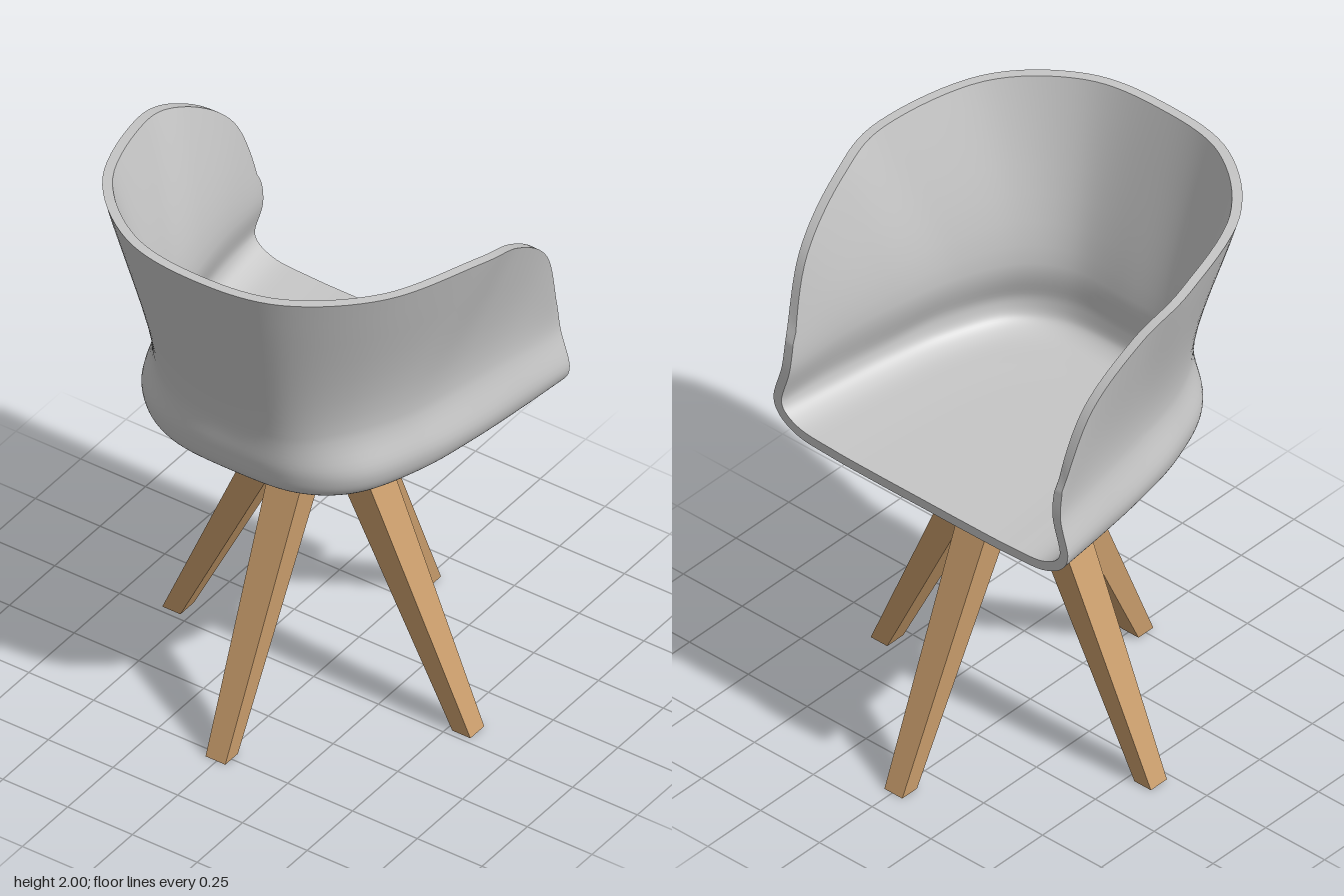
import * as THREE from 'three';

const shellGrey = new THREE.MeshStandardMaterial({ color: 0xc6c6c6 });
shellGrey.name = 'shellGrey';
const wood = new THREE.MeshStandardMaterial({ color: 0xc89c6b });
wood.name = 'wood';

const V = (x, y, z) => new THREE.Vector3(x, y, z);

// Guide points from the middle of the backrest (first) to the open edge (last)
const centre = [0, -0.05, -0.12, -0.2, -0.3, -0.41, -0.52].map((z) => V(0, 1.065, z));
const bulge = [
  [0, 1.2, 0.485], [0.25, 1.2, 0.465], [0.42, 1.2, 0.35], [0.52, 1.2, 0.13],
  [0.57, 1.19, -0.1], [0.602, 1.19, -0.32], [0.625, 1.18, -0.52],
].map((p) => V(...p));
const waist = [
  [0, 1.34, 0.49], [0.22, 1.35, 0.473], [0.37, 1.37, 0.36], [0.475, 1.37, 0.16],
  [0.53, 1.37, -0.08], [0.567, 1.36, -0.3], [0.592, 1.32, -0.518],
].map((p) => V(...p));
const rim = [
  [0, 1.995, 0.657], [0.3, 1.997, 0.605], [0.55, 1.99, 0.38], [0.663, 1.955, 0.02],
  [0.653, 1.875, -0.2], [0.622, 1.7, -0.4], [0.588, 1.42, -0.505],
].map((p) => V(...p));

// Point between the seat centre and the bulge, at a given height
const under = (k, y) => centre.map((c, i) => c.clone().lerp(bulge[i], k).setY(y));
const rows = [centre, under(0.3, 1.065), under(0.6, 1.068), under(0.84, 1.082),
  under(0.96, 1.125), bulge, waist, rim];

// Mirror a guide to make a smooth curve from the right edge round to the left
const guides = rows.map((row) => {
  const right = row.slice(1).reverse().map((p) => V(-p.x, p.y, p.z));
  return new THREE.CatmullRomCurve3([...right, ...row], false, 'catmullrom', 0.5);
});

const COLS = 96, ROWS = 48;
// Both halves share the vertices along the seat centre
const id = (i, j) => (j === 0 ? Math.max(i, COLS - i) : i) + j * (COLS + 1);

function makeGeometry(points, index) {
  const g = new THREE.BufferGeometry().setFromPoints(points);
  g.setIndex(index);
  g.computeVertexNormals();
  return g;
}

function buildShell() {
  const group = new THREE.Group();
  group.name = 'seatShell';

  // Outer skin
  const outer = [];
  const profiles = [];
  for (let i = 0; i <= COLS; i++) {
    profiles.push(new THREE.CatmullRomCurve3(guides.map((g) => g.getPoint(i / COLS)), false, 'centripetal'));
  }
  for (let j = 0; j <= ROWS; j++) {
    for (let i = 0; i <= COLS; i++) outer.push(profiles[i].getPoint(j / ROWS));
  }
  const faces = [], reversed = [];
  for (let j = 0; j < ROWS; j++) {
    for (let i = 0; i < COLS; i++) {
      const a = id(i, j), b = id(i + 1, j), c = id(i + 1, j + 1), d = id(i, j + 1);
      faces.push(a, b, c, a, c, d);
      reversed.push(a, c, b, a, d, c);
    }
  }
  const outerGeo = makeGeometry(outer, faces);

  // Inner skin, offset by the thickness; open edges stay level with the outer skin
  const n = outerGeo.attributes.normal;
  const inner = outer.map((p, k) => {
    const q = p.clone().addScaledVector(V(n.getX(k), n.getY(k), n.getZ(k)), -0.034);
    const i = k % (COLS + 1);
    if (i === 0 || i === COLS) q.z = p.z;
    if (k >= ROWS * (COLS + 1)) q.y = p.y;
    return q;
  });

  // Edge band: up one open side, over the rim, down the other
  const loop = [];
  for (let j = 0; j < ROWS; j++) loop.push(id(0, j));
  for (let i = 0; i <= COLS; i++) loop.push(id(i, ROWS));
  for (let j = ROWS - 1; j >= 0; j--) loop.push(id(COLS, j));
  const band = [], bandFaces = [];
  loop.forEach((k, s) => {
    band.push(outer[k], inner[k]);
    if (s) bandFaces.push(2 * s - 2, 2 * s, 2 * s + 1, 2 * s - 2, 2 * s + 1, 2 * s - 1);
  });

  const parts = {
    outerShell: outerGeo,
    innerShell: makeGeometry(inner, reversed),
    shellEdge: makeGeometry(band, bandFaces),
  };
  for (const [name, geo] of Object.entries(parts)) {
    const mesh = new THREE.Mesh(geo, shellGrey);
    mesh.name = name;
    group.add(mesh);
  }
  return group;
}

// Bent, tapered leg pointing along +z, with an upright block at the top
function legGeometry() {
  const levels = [
    { y: 0, near: 0.525, far: 0.595, half: 0.038 },
    { y: 0.93, near: 0.066, far: 0.19, half: 0.065 },
    { y: 1.076, near: 0.066, far: 0.19, half: 0.065 },
  ];
  const box = new THREE.BoxGeometry(1, 1, 1, 1, 2, 1).toNonIndexed();
  const p = box.attributes.position;
  for (let k = 0; k < p.count; k++) {
    const l = levels[Math.round((p.getY(k) + 0.5) * 2)];
    p.setXYZ(k, Math.sign(p.getX(k)) * l.half, l.y, p.getZ(k) > 0 ? l.far : l.near);
  }
  box.computeVertexNormals();
  return box;
}

export function createModel() {
  const model = new THREE.Group();
  model.name = 'tubChair';
  model.add(buildShell());

  // Four crossed legs
  const base = new THREE.Group();
  base.name = 'legBase';
  base.position.set(-0.005, 0, -0.06);
  const geo = legGeometry();
  ['frontLeg', 'leftLeg', 'backLeg', 'rightLeg'].forEach((name, i) => {
    const leg = new THREE.Mesh(geo, wood);
    leg.name = name;
    leg.rotation.y = (i * Math.PI) / 2;
    base.add(leg);
  });
  model.add(base);
  return model;
}
